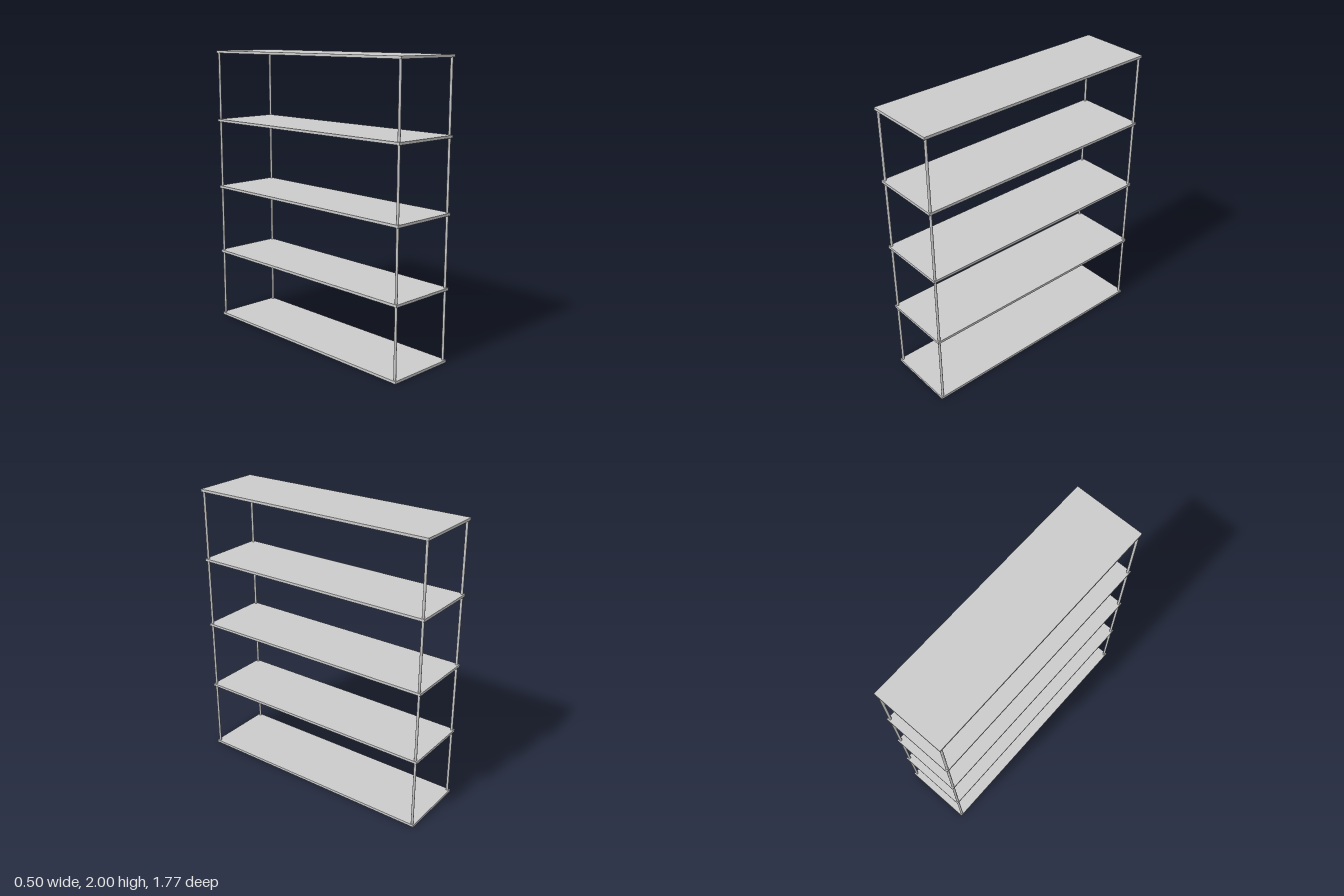
import * as THREE from 'three';

const WIDTH = 0.5, DEPTH = 1.772, HEIGHT = 2, THICK = 0.018;
const SHELVES = 5, POST_R = 0.009;

export function createModel() {
  const model = new THREE.Group();
  model.name = 'shelvingUnit';
  const material = new THREE.MeshStandardMaterial({ color: 0xcccccc });

  // Evenly spaced flat shelves
  const shelfGeometry = new THREE.BoxGeometry(WIDTH, THICK, DEPTH);
  const spacing = (HEIGHT - THICK) / (SHELVES - 1);
  for (let i = 0; i < SHELVES; i++) {
    const shelf = new THREE.Mesh(shelfGeometry, material);
    shelf.name = `shelf${i + 1}`;
    shelf.position.y = THICK / 2 + i * spacing;
    model.add(shelf);
  }

  // Slim round posts at the four corners, ending inside the outer shelves
  const postGeometry = new THREE.CylinderGeometry(POST_R, POST_R, HEIGHT - THICK, 16);
  for (const [side, sx] of [['Left', 1], ['Right', -1]]) {
    for (const [end, sz] of [['front', 1], ['back', -1]]) {
      const post = new THREE.Mesh(postGeometry, material);
      post.name = `${end}${side}Post`;
      post.position.set(sx * 0.236, HEIGHT / 2, sz * 0.869);
      model.add(post);
    }
  }
  return model;
}
